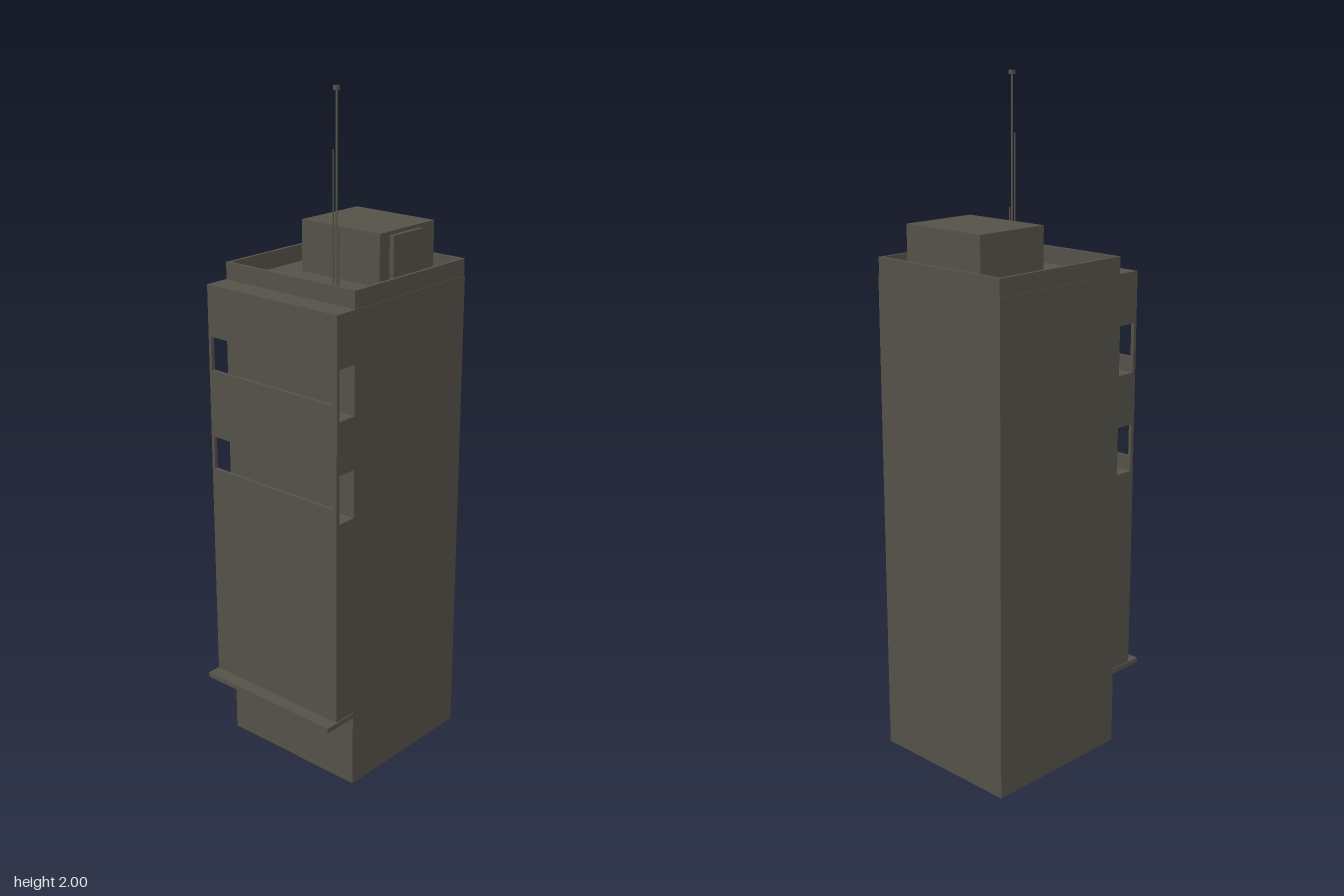
import * as THREE from 'three';

export function createModel() {
  const tower = new THREE.Group();
  tower.name = 'tower';
  const concrete = new THREE.MeshStandardMaterial({ color: 0x57534b, side: THREE.DoubleSide });
  concrete.name = 'dark concrete';

  const add = (name, geometry, x = 0, y = 0, z = 0) => {
    const mesh = new THREE.Mesh(geometry, concrete);
    mesh.name = name;
    mesh.position.set(x, y, z);
    tower.add(mesh);
    return mesh;
  };
  // Box given by its lower and upper limits on each axis
  const block = (name, [x0, x1], [y0, y1], [z0, z1]) =>
    add(name, new THREE.BoxGeometry(x1 - x0, y1 - y0, z1 - z0),
      (x0 + x1) / 2, (y0 + y1) / 2, (z0 + z1) / 2);

  const W = 0.24, back = -0.296, wall = 0.184, front = 0.256;
  const roof = 1.45;

  // Hollow main block, open underneath (the bottom face is dropped)
  const body = block('mainBlock', [-W, W], [0, roof], [back, wall]);
  const index = Array.from(body.geometry.index.array);
  index.splice(18, 6);
  body.geometry.setIndex(index);
  body.geometry.clearGroups();

  // Projecting front bay, split by two open balconies
  for (const [y0, y1] of [[0.24, 0.857], [1.0, 1.155], [1.3, roof]])
    block('frontBay', [-W, W], [y0, y1], [wall, front]);
  for (const [floor, ceiling] of [[0.857, 1.0], [1.155, 1.3]]) {
    block('balconyRail', [-W, W], [floor, ceiling - 0.1], [0.245, front]);
    for (const s of [-1, 1])
      add('balconyPost', new THREE.BoxGeometry(0.01, 0.1, front - 0.245),
        s * (W - 0.005), ceiling - 0.05, (front + 0.245) / 2);
  }

  // Entrance canopy
  block('canopy', [-0.242, 0.242], [0.224, 0.239], [wall, 0.296]);

  // Roof parapet ring
  const rect = (P, x, z0, z1) => new P([[-x, z0], [x, z0], [x, z1], [-x, z1]]
    .map(([a, z]) => new THREE.Vector2(a, -z)));
  const ring = rect(THREE.Shape, 0.238, -0.295, 0.182);
  ring.holes.push(rect(THREE.Path, 0.228, -0.284, 0.171));
  const parapet = new THREE.ExtrudeGeometry(ring, { depth: 0.05, bevelEnabled: false });
  parapet.rotateX(-Math.PI / 2);
  add('parapet', parapet, 0, roof, 0);

  // Roof house with its door housing
  block('roofHouse', [-0.145, 0.143], [roof, 1.6], [-0.273, -0.032]);
  block('roofDoor', [0.143, 0.157], [roof, 1.59], [-0.204, -0.075]);

  // Antenna rods: x, z, top, radius
  for (const [x, z, top, r] of [
    [0.073, 0.067, 1.99, 0.003],
    [0.05, 0.055, 1.83, 0.002],
    [0.071, 0.055, 1.62, 0.002],
  ])
    add('antenna', new THREE.CylinderGeometry(r, r, top - roof, 8), x, (top + roof) / 2, z);
  block('antennaCap', [0.067, 0.079], [1.988, 2], [0.06, 0.074]);

  return tower;
}
